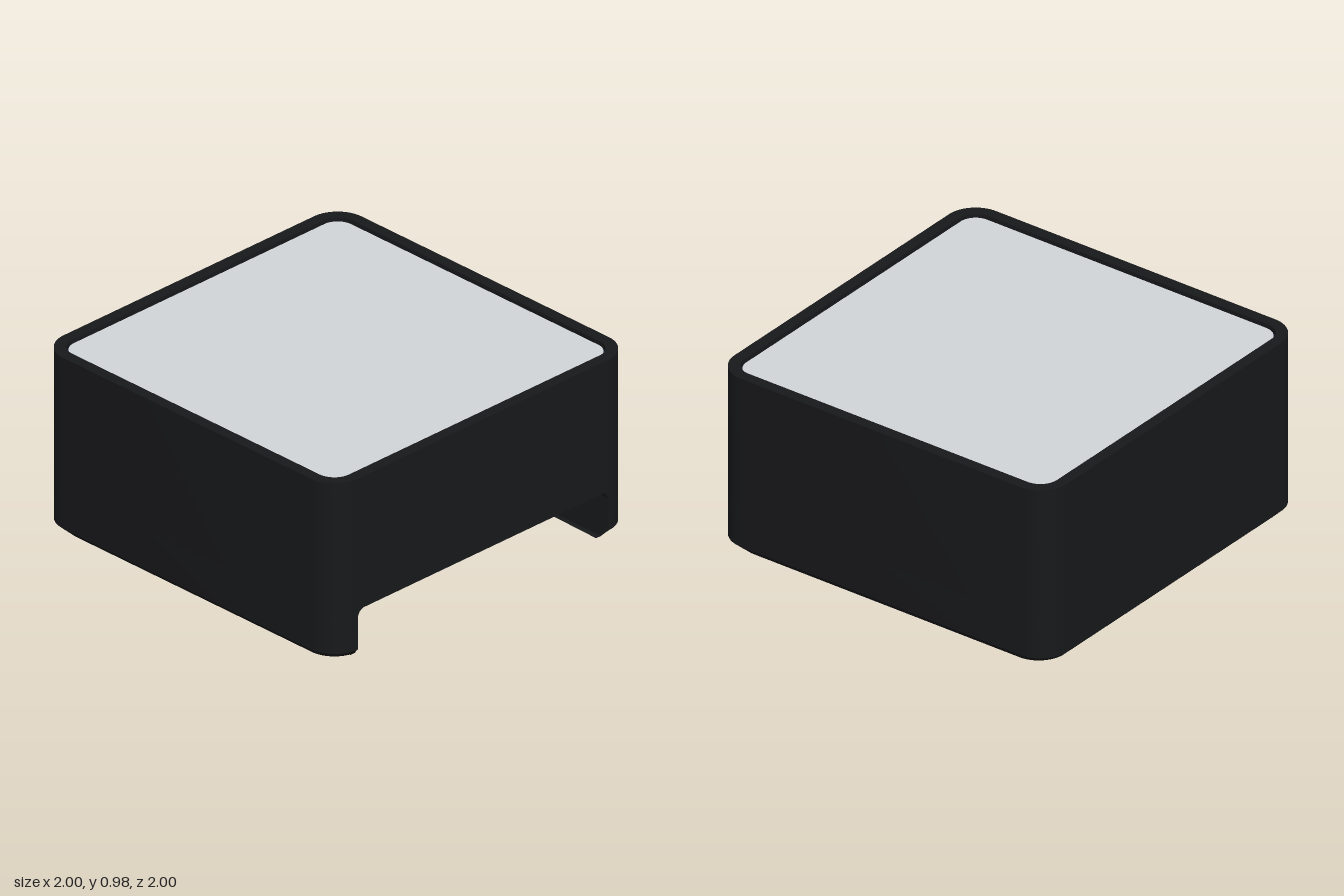
import * as THREE from 'three';
import { toCreasedNormals } from 'three/addons/utils/BufferGeometryUtils.js';

const HEIGHT = 0.98, NOTCH_TOP = 0.265, NOTCH_X = 0.84, NOTCH_BACK = -0.38, CHAMFER = 0.05, RADIUS = 0.16;

const paint = (color) => new THREE.MeshStandardMaterial({ color });
const black = paint(0x17181a), light = paint(0xd0d4d6), navy = paint(0x101a33);
const charcoal = paint(0x212426), gold = paint(0xb8963e);

function part(parent, name, geometry, material) {
  const mesh = new THREE.Mesh(geometry, material);
  mesh.name = name;
  parent.add(mesh);
  return mesh;
}

// Square outline of half-width h with rounded corners
function roundedSquare(h, r, Type = THREE.Shape) {
  const s = new Type(), c = h - r;
  s.absarc(c, c, r, 0, Math.PI / 2);
  s.absarc(-c, c, r, Math.PI / 2, Math.PI);
  s.absarc(-c, -c, r, Math.PI, Math.PI * 1.5);
  s.absarc(c, -c, r, Math.PI * 1.5, Math.PI * 2);
  s.closePath();
  return s;
}

// Same outline with the front notch cut away (shape y is -z)
function notchedSquare() {
  const s = new THREE.Shape(), c = 1 - RADIUS;
  s.absarc(c, c, RADIUS, 0, Math.PI / 2);
  s.absarc(-c, c, RADIUS, Math.PI / 2, Math.PI);
  s.absarc(-c, -c, RADIUS, Math.PI, Math.PI * 1.5);
  s.lineTo(-NOTCH_X, -NOTCH_BACK);
  s.lineTo(NOTCH_X, -NOTCH_BACK);
  s.absarc(c, -c, RADIUS, Math.PI * 1.5, Math.PI * 2);
  s.closePath();
  return s;
}

// Vertical extrusion of a plan outline
function slab(shape, y0, y1) {
  const g = new THREE.ExtrudeGeometry(shape, { depth: y1 - y0, bevelEnabled: false, curveSegments: 12 });
  g.rotateX(-Math.PI / 2).translate(0, y0, 0);
  return g;
}

export function createModel() {
  const model = new THREE.Group();
  model.name = 'sensorModule';

  // Housing: walled upper part, notched lower part, chamfered foot
  const housing = new THREE.Group();
  housing.name = 'housing';
  model.add(housing);

  const ring = roundedSquare(1, RADIUS);
  ring.holes.push(roundedSquare(0.94, 0.1, THREE.Path));
  part(housing, 'upperWalls', toCreasedNormals(slab(ring, NOTCH_TOP, HEIGHT), 0.5), black);
  part(housing, 'lowerWalls', toCreasedNormals(slab(notchedSquare(), CHAMFER, NOTCH_TOP), 0.5), black);

  // Pull the outer edge inwards at ground level, leaving the notch straight
  const foot = slab(notchedSquare(), 0, CHAMFER);
  const p = foot.attributes.position;
  for (let i = 0; i < p.count; i++) {
    if (p.getY(i) > CHAMFER / 2) continue;
    const x = p.getX(i), z = p.getZ(i);
    if (Math.abs(x) > NOTCH_X + 0.001) p.setX(i, x * (1 - CHAMFER));
    if (Math.abs(x) > NOTCH_X + 0.001 || Math.abs(z) > 0.9) p.setZ(i, z * (1 - CHAMFER));
  }
  part(housing, 'chamferedFoot', toCreasedNormals(foot, 0.5), black);

  // Rounded inner corners at the top of the notch
  const r = 0.04;
  for (const side of [-1, 1]) {
    const s = new THREE.Shape();
    s.moveTo(side * NOTCH_X, NOTCH_TOP);
    s.lineTo(side * (NOTCH_X - r), NOTCH_TOP);
    s.quadraticCurveTo(side * (NOTCH_X - 0.006), NOTCH_TOP - 0.006, side * NOTCH_X, NOTCH_TOP - r);
    s.closePath();
    const g = new THREE.ExtrudeGeometry(s, { depth: 1 - NOTCH_BACK, bevelEnabled: false, curveSegments: 6 });
    g.translate(0, 0, NOTCH_BACK);
    part(housing, side > 0 ? 'leftNotchFillet' : 'rightNotchFillet', toCreasedNormals(g, 0.6), black);
  }

  // Circuit core fills the housing and shows above and below
  part(model, 'circuitCore', toCreasedNormals(slab(roundedSquare(0.94, 0.1), NOTCH_TOP, 0.95), 0.5), navy);
  part(model, 'topPlate', toCreasedNormals(slab(roundedSquare(0.93, 0.09), 0.95, 0.965), 0.5), light);

  // Pin header inside the notch
  const header = new THREE.Group();
  header.name = 'pinHeader';
  model.add(header);
  const pitch = 0.26, headerFront = NOTCH_BACK + pitch;
  part(header, 'headerBlock', new THREE.BoxGeometry(6 * pitch, NOTCH_TOP - 0.002, pitch), charcoal)
    .position.set(0, NOTCH_TOP / 2, NOTCH_BACK + pitch / 2);

  // Six square pins with tapered tips
  const w = 0.064, shaftEnd = 0.43, tip = 0.04;
  const shaft = new THREE.BoxGeometry(w, w, shaftEnd - headerFront);
  const taper = new THREE.CylinderGeometry(w * 0.5 * Math.SQRT1_2, w * Math.SQRT1_2, tip, 4)
    .toNonIndexed().rotateY(Math.PI / 4).rotateX(Math.PI / 2);
  taper.computeVertexNormals();
  for (let i = 0; i < 6; i++) {
    const pin = new THREE.Group();
    pin.name = 'pin' + (i + 1);
    pin.position.set((i - 2.5) * pitch, 0.133, 0);
    part(pin, 'pinShaft', shaft, gold).position.z = (shaftEnd + headerFront) / 2;
    part(pin, 'pinTip', taper, gold).position.z = shaftEnd + tip / 2;
    header.add(pin);
  }
  return model;
}
